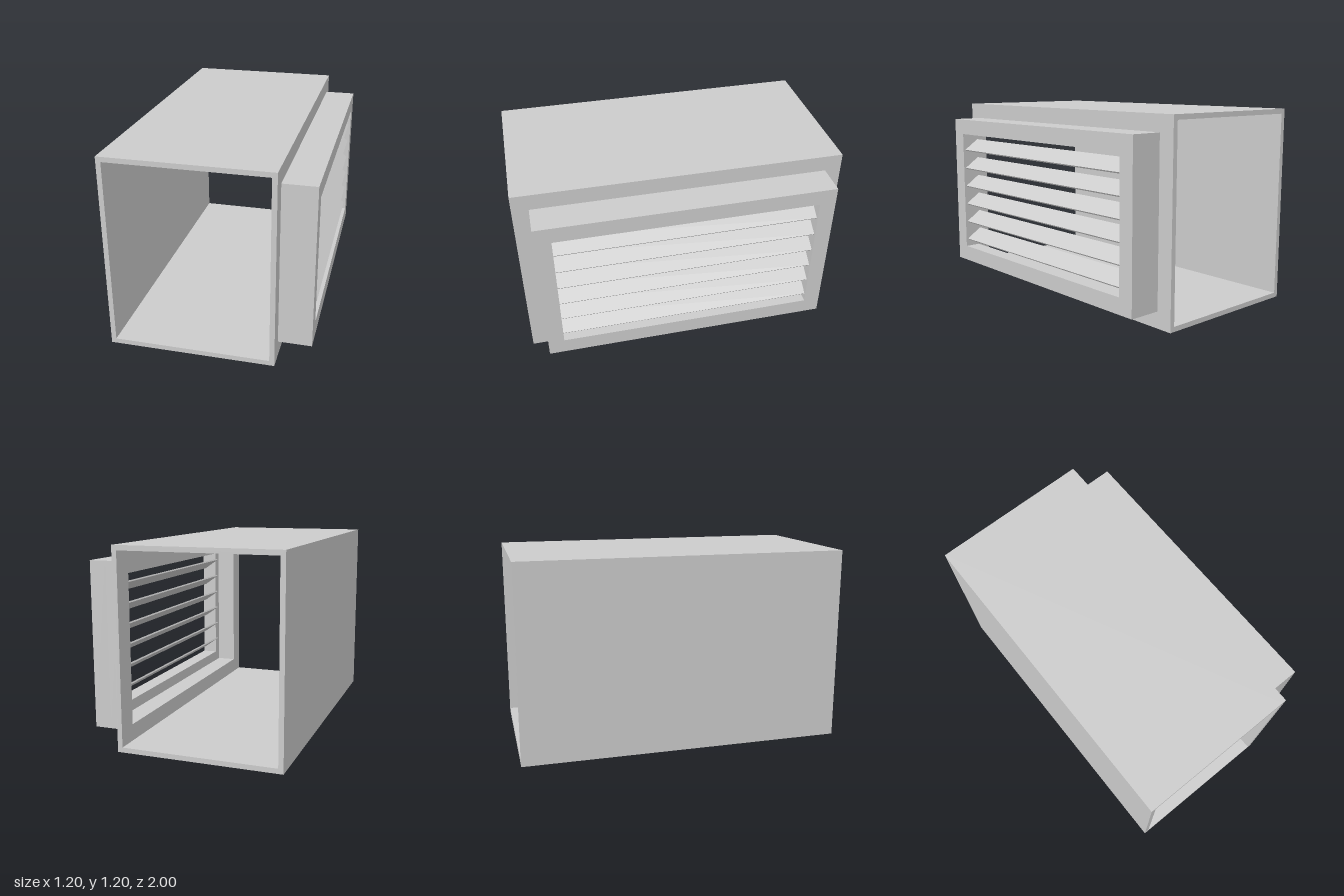
import * as THREE from 'three';

const material = new THREE.MeshStandardMaterial({ color: 0xcccccc, flatShading: true });

function add(group, name, geometry) {
  const mesh = new THREE.Mesh(geometry, material);
  mesh.name = name;
  group.add(mesh);
  return mesh;
}

// Counter-clockwise rectangle around the vent centre height
function rectangle(halfWidth, halfHeight, Type) {
  const y = 0.6;
  return new Type([
    new THREE.Vector2(-halfWidth, y - halfHeight),
    new THREE.Vector2(halfWidth, y - halfHeight),
    new THREE.Vector2(halfWidth, y + halfHeight),
    new THREE.Vector2(-halfWidth, y + halfHeight),
  ]);
}

// Rectangular ring in the z-y plane, extruded along x from x0 to x1
function ring(outer, inner, x0, x1) {
  const shape = rectangle(...outer, THREE.Shape);
  shape.holes.push(rectangle(...inner, THREE.Path));
  return new THREE.ExtrudeGeometry(shape, { depth: x1 - x0, bevelEnabled: false })
    .rotateY(Math.PI / 2)
    .translate(x0, 0, 0);
}

export function createModel() {
  const model = new THREE.Group();
  model.name = 'ventedDuct';

  // Duct: top, bottom and closed side as one channel, open at both ends
  const channel = new THREE.Shape([
    [-0.6, 0], [0.37, 0], [0.37, 0.03], [-0.57, 0.03],
    [-0.57, 1.17], [0.37, 1.17], [0.37, 1.2], [-0.6, 1.2],
  ].map(([x, y]) => new THREE.Vector2(x, y)));
  add(model, 'ductChannel',
    new THREE.ExtrudeGeometry(channel, { depth: 2, bevelEnabled: false }).translate(0, 0, -1));

  // Duct side wall with the vent opening
  add(model, 'ductVentWall', ring([1, 0.6], [0.87, 0.47], 0.37, 0.4));

  // Vent housing: thin collar behind a thick front frame
  add(model, 'ventCollar', ring([0.9, 0.5], [0.87, 0.47], 0.4, 0.5));
  add(model, 'ventFrame', ring([0.9, 0.5], [0.8, 0.4], 0.5, 0.6));

  // Louver blades, sloping down towards the outside
  const blades = new THREE.Group();
  blades.name = 'louverBlades';
  const bladeGeometry = new THREE.BoxGeometry(0.12, 0.01, 1.6);
  for (let i = 0; i < 6; i++) {
    const blade = add(blades, 'louverBlade', bladeGeometry);
    blade.position.set(0.534, 0.282 + i * 0.1275, 0);
    blade.rotation.z = THREE.MathUtils.degToRad(-35);
  }
  model.add(blades);

  return model;
}
